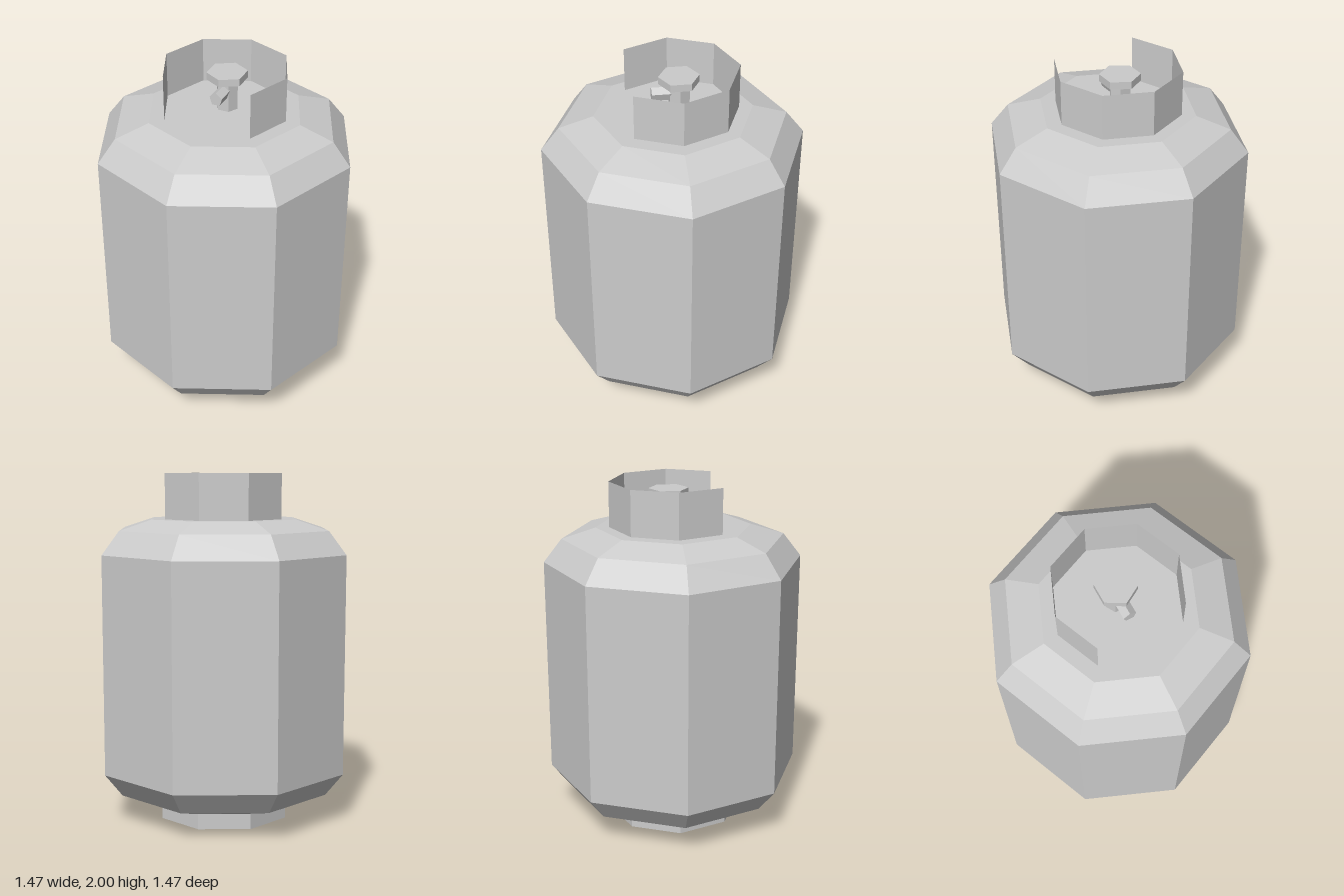
import * as THREE from 'three';

export function createModel() {
  const group = new THREE.Group();
  const solid = new THREE.MeshStandardMaterial({ color: 0xcccccc, flatShading: true });
  const sheet = new THREE.MeshStandardMaterial({ color: 0xcccccc, flatShading: true, side: THREE.DoubleSide });

  const add = (name, geometry, material, x, y, z) => {
    const mesh = new THREE.Mesh(geometry, material);
    mesh.name = name;
    mesh.position.set(x, y, z);
    group.add(mesh);
    return mesh;
  };

  // Eight-sided tank with stepped shoulders, closed at both ends
  const profile = [
    [0, 0.105], [0.44, 0.105], [0.632, 0.165], [0.735, 0.295],
    [0.735, 1.55], [0.632, 1.682], [0.44, 1.742], [0, 1.742],
  ].map(([r, y]) => new THREE.Vector2(r, y));
  add('tank', new THREE.LatheGeometry(profile, 8), solid, 0, 0, 0);

  // Open foot ring
  add('footRing', new THREE.CylinderGeometry(0.39, 0.39, 0.105, 8, 1, true), sheet, 0, 0.0525, 0);

  // Thin guard collar, open at the front
  add('collar', new THREE.CylinderGeometry(0.355, 0.355, 0.26, 6, 1, true, Math.PI / 4, Math.PI * 1.5),
    sheet, 0, 1.87, -0.008);

  // Valve stem, outlet and hand wheel
  const stem = new THREE.CylinderGeometry(0.062, 0.062, 0.18, 6).rotateY(Math.PI / 6);
  add('valveStem', stem, solid, 0, 1.83, -0.03);
  const outlet = new THREE.CylinderGeometry(0.038, 0.038, 0.15, 5).rotateX(-Math.PI / 2);
  add('valveOutlet', outlet, solid, 0, 1.857, 0.047);
  add('handWheel', new THREE.CylinderGeometry(0.113, 0.113, 0.042, 6), solid, 0, 1.937, -0.028);

  return group;
}
